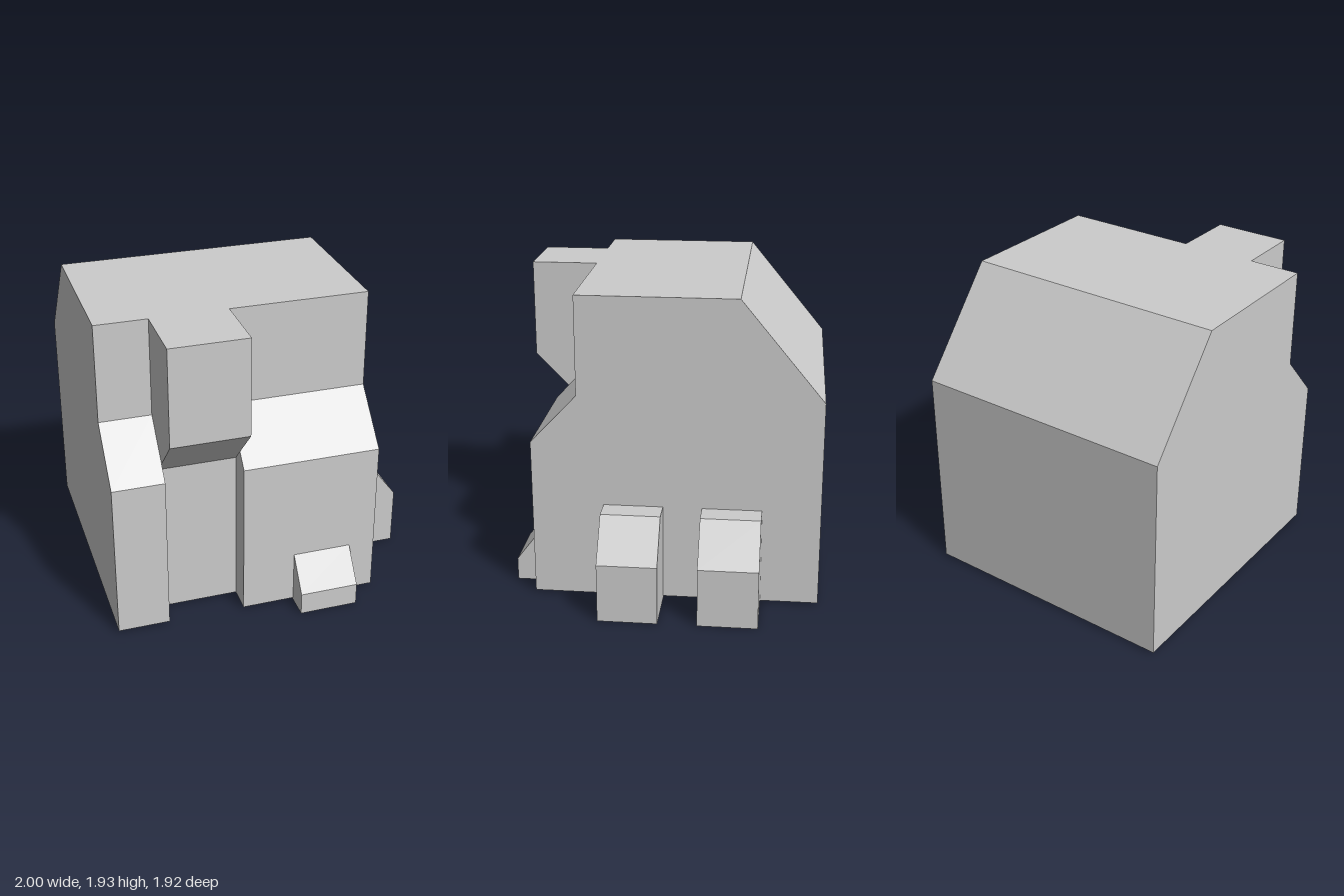
import * as THREE from 'three';

const grey = new THREE.MeshStandardMaterial({ color: 0xcccccc });
grey.name = 'plain grey';

// Prism from a side profile of [z, y] points, spanning x0 to x1
function sideProfile(name, points, x0, x1) {
  const shape = new THREE.Shape(points.map(([z, y]) => new THREE.Vector2(-z, y)));
  const geometry = new THREE.ExtrudeGeometry(shape, { depth: x1 - x0, bevelEnabled: false });
  geometry.rotateY(Math.PI / 2).translate(x0, 0, 0);
  const mesh = new THREE.Mesh(geometry, grey);
  mesh.name = name;
  return mesh;
}

// Prism from a front profile of [x, y] points, spanning z0 to z1
function frontProfile(name, points, z0, z1) {
  const shape = new THREE.Shape(points.map(([x, y]) => new THREE.Vector2(x, y)));
  const geometry = new THREE.ExtrudeGeometry(shape, { depth: z1 - z0, bevelEnabled: false });
  geometry.translate(0, 0, z0);
  const mesh = new THREE.Mesh(geometry, grey);
  mesh.name = name;
  return mesh;
}

export function createModel() {
  const group = new THREE.Group();
  group.name = 'building';

  // Back outline shared by every bay: sloped roof and upright rear wall
  const rear = [[-0.453, 1.934], [-0.962, 1.318], [-0.962, 0.013]];
  // Outer bays step back above a sloped ledge
  const outerBay = [[0.81, 0.013], [0.81, 1.013], [0.522, 1.318], [0.522, 1.934], ...rear];
  // Middle bay is recessed below and overhangs above
  const middleBay = [[0.645, 0.013], [0.645, 1.013], [0.94, 1.318], [0.94, 1.934], ...rear];

  group.add(sideProfile('rightBay', outerBay, -1, -0.679));
  group.add(sideProfile('middleBay', middleBay, -0.679, -0.2));
  group.add(sideProfile('leftBay', outerBay, -0.2, 0.663));

  // Low front porch with a sloped top
  group.add(sideProfile('frontPorch',
    [[0.962, 0], [0.962, 0.142], [0.81, 0.343], [0.44, 0.343], [0.44, 0]], 0.13, 0.498));

  // Two side annexes with chamfered outer edges
  const annex = [[0.46, 0], [1, 0], [1, 0.371], [0.81, 0.62], [0.46, 0.62]];
  for (const z of [0, -0.605]) group.add(frontProfile('sideAnnex', annex, z, z + 0.366));

  return group;
}
